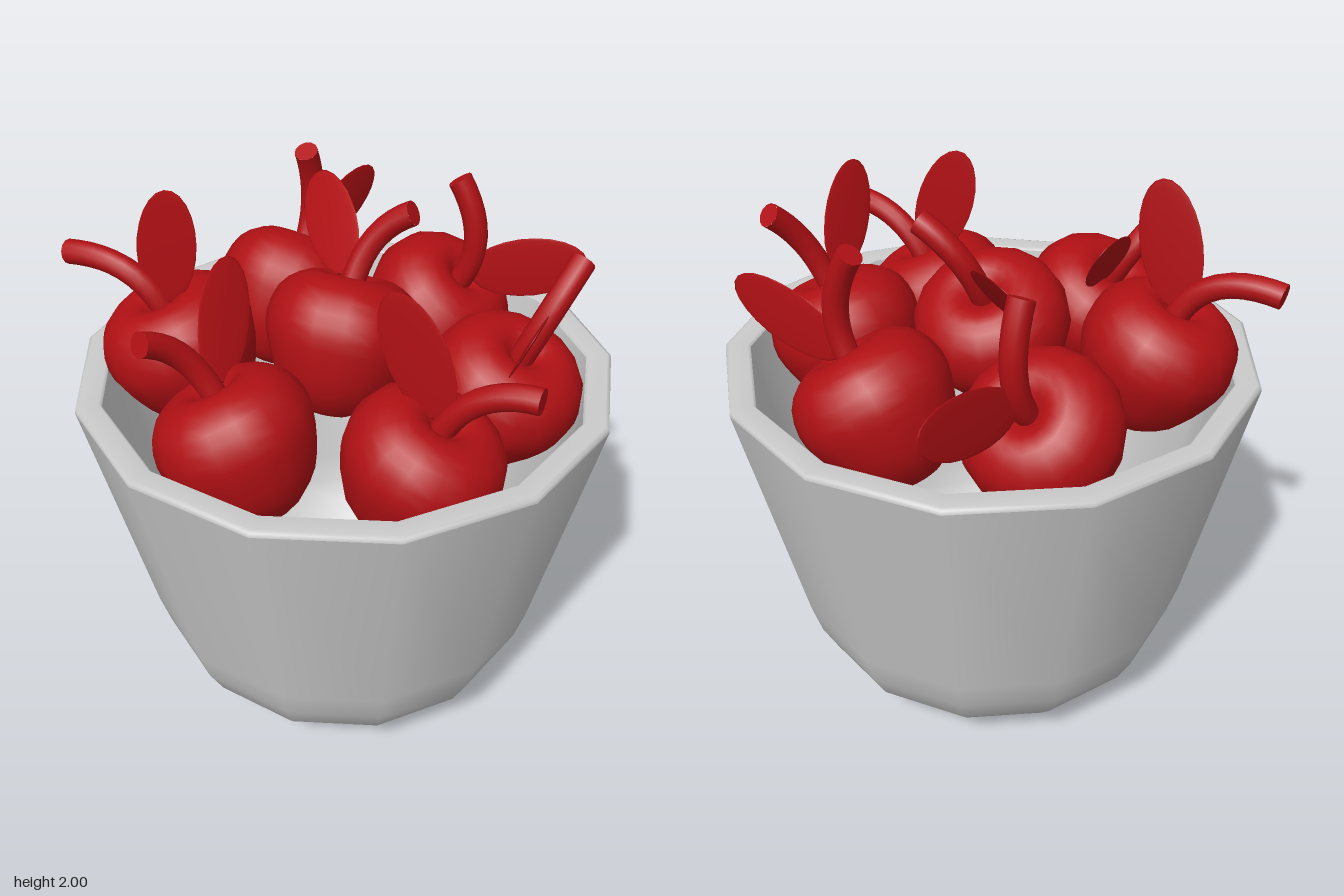
import * as THREE from 'three';

const grey = new THREE.MeshStandardMaterial({ color: 0xcccccc, side: THREE.DoubleSide });
const red = new THREE.MeshStandardMaterial({ color: 0xb01014 });
const UP = new THREE.Vector3(0, 1, 0);
const vec = (a) => new THREE.Vector3(...a);
const points = (list) => list.map(([x, y]) => new THREE.Vector2(x, y));

function part(name, geometry, material, parent) {
  const mesh = new THREE.Mesh(geometry, material);
  mesh.name = name;
  parent.add(mesh);
  return mesh;
}

// Thirteen-sided bucket; separate bands keep the rim edges crisp
function makeBucket() {
  const bucket = new THREE.Group();
  bucket.name = 'bucket';
  const bands = {
    bucketOuterWall: [[0, 0], [0.34, 0.005], [0.46, 0.035], [0.57, 0.1], [0.65, 0.19], [0.705, 0.3], [0.74, 0.42], [0.94, 1.33]],
    bucketRim: [[0.94, 1.33], [0.938, 1.345], [0.925, 1.35], [0.86, 1.35], [0.85, 1.34]],
    bucketInnerWall: [[0.85, 1.34], [0.67, 0.44], [0.635, 0.33], [0.58, 0.23], [0.5, 0.15], [0.4, 0.1], [0.28, 0.08], [0, 0.075]],
  };
  for (const [name, profile] of Object.entries(bands)) {
    part(name, new THREE.LatheGeometry(points(profile), 13, Math.PI / 2), grey, bucket);
  }
  return bucket;
}

// Fruit outline: pointed base, broad shoulders, dimple around the stem
const fruitProfile = new THREE.SplineCurve(points([
  [0, -0.25], [0.09, -0.235], [0.19, -0.15], [0.25, -0.03], [0.272, 0.07],
  [0.24, 0.175], [0.16, 0.235], [0.09, 0.235], [0.04, 0.2], [0, 0.17],
])).getPoints(22);
fruitProfile[0].x = fruitProfile[22].x = 0;
const fruitGeometry = new THREE.LatheGeometry(fruitProfile, 16);

// One cherry: body leaning toward its stem root, curved stem and flat leaf
function makeCherry({ centre, root, stemEnd, leafTip }) {
  const cherry = new THREE.Group();
  cherry.name = 'cherry';
  const c = vec(centre), r = vec(root), end = vec(stemEnd), tip = vec(leafTip);
  const axis = r.clone().sub(c).normalize();

  const fruit = part('fruit', fruitGeometry, red, cherry);
  fruit.position.copy(c);
  fruit.quaternion.setFromUnitVectors(UP, axis);

  // Stem with a cut end
  const start = c.clone().addScaledVector(axis, 0.16);
  const bend = c.clone().addScaledVector(axis, 0.4);
  const curve = new THREE.QuadraticBezierCurve3(start, bend, end);
  part('stem', new THREE.TubeGeometry(curve, 10, 0.043, 12), red, cherry);
  const cap = part('stemEnd', new THREE.CircleGeometry(0.043, 12), red, cherry);
  cap.position.copy(end);
  cap.quaternion.setFromUnitVectors(new THREE.Vector3(0, 0, 1), curve.getTangent(1));

  // Leaf lies in the plane of the stem, on its opposite side
  const along = tip.clone().sub(r).normalize();
  const normal = along.clone().cross(end.clone().sub(r)).normalize();
  const across = normal.clone().cross(along);
  const leaf = part('leaf', new THREE.SphereGeometry(1, 24, 12), red, cherry);
  leaf.quaternion.setFromRotationMatrix(new THREE.Matrix4().makeBasis(along, across, normal));
  leaf.scale.set(0.225, 0.11, 0.006);
  leaf.position.copy(tip).addScaledVector(along, -0.225);
  return cherry;
}

// Six cherries around a raised middle one
const CHERRIES = [
  { centre: [-0.02, 1.42, 0], root: [-0.02, 1.62, -0.1], stemEnd: [0.16, 1.87, -0.19], leafTip: [-0.32, 1.82, -0.43] },
  { centre: [-0.53, 1.36, 0.18], root: [-0.6, 1.56, 0.21], stemEnd: [-0.94, 1.69, 0.23], leafTip: [-0.5, 2.0, 0.23] },
  { centre: [-0.13, 1.29, 0.52], root: [-0.23, 1.48, 0.51], stemEnd: [-0.38, 1.71, 0.67], leafTip: [-0.35, 1.75, 0.13] },
  { centre: [0.41, 1.26, 0.36], root: [0.49, 1.45, 0.345], stemEnd: [0.79, 1.63, 0.34], leafTip: [0.31, 1.89, 0.35] },
  { centre: [0.52, 1.29, -0.11], root: [0.6, 1.48, -0.1], stemEnd: [0.73, 1.79, -0.25], leafTip: [0.73, 1.8, 0.29] },
  { centre: [0.12, 1.32, -0.5], root: [0.25, 1.5, -0.5], stemEnd: [0.21, 1.87, -0.5], leafTip: [0.69, 1.66, -0.5] },
  { centre: [-0.41, 1.32, -0.35], root: [-0.39, 1.5, -0.5], stemEnd: [-0.38, 1.87, -0.49], leafTip: [-0.3, 1.62, -0.94] },
];

export function createModel() {
  const model = new THREE.Group();
  model.name = 'bucketOfCherries';
  model.add(makeBucket());
  for (const spec of CHERRIES) model.add(makeCherry(spec));
  return model;
}
